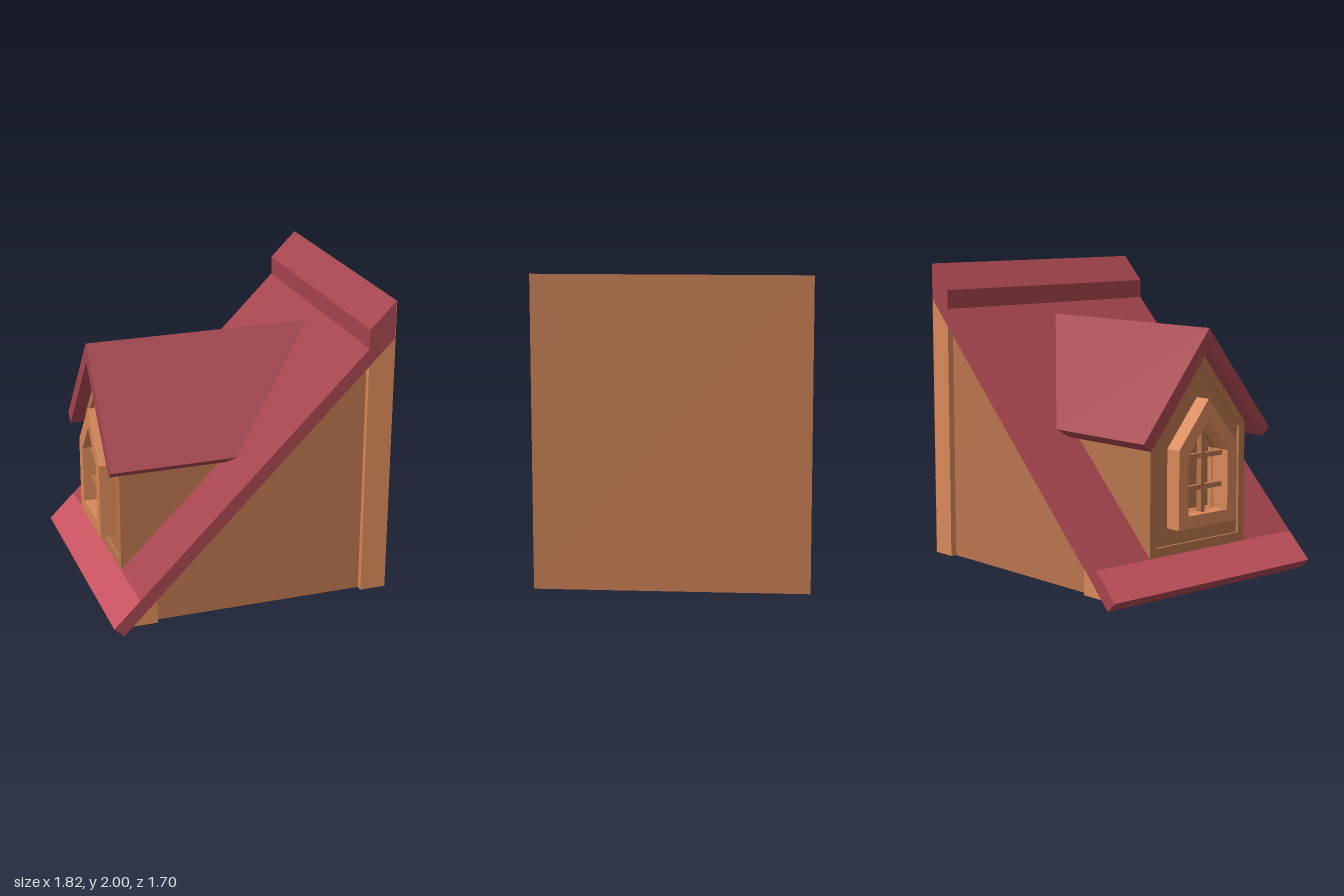
import * as THREE from 'three';

const material = (color) => new THREE.MeshStandardMaterial({ color, flatShading: true, side: THREE.DoubleSide });
const wood = material(0xb8744c);
const lightWood = material(0xd88858);
const red = material(0xa5454f);
const lightRed = material(0xc8535f);

const toShape = (pts) => new THREE.Shape(pts.map((p) => new THREE.Vector2(...p)));

// Extrude an (x, y) outline from z0 to z1.
function alongZ(pts, z0, z1) {
  const g = new THREE.ExtrudeGeometry(toShape(pts), { depth: z1 - z0, bevelEnabled: false });
  return g.translate(0, 0, z0);
}

// Extrude a symmetric (z, y) outline from x0 to x1, with an optional hole.
function alongX(pts, x0, x1, hole) {
  const shape = toShape(pts);
  if (hole) shape.holes.push(toShape(hole));
  const g = new THREE.ExtrudeGeometry(shape, { depth: x1 - x0, bevelEnabled: false });
  return g.rotateY(Math.PI / 2).translate(x0, 0, 0);
}

// House-shaped outline: half width, bottom, shoulder and apex heights.
const gable = (w, bottom, shoulder, apex) =>
  [[-w, bottom], [w, bottom], [w, shoulder], [0, apex], [-w, shoulder]];

export function createModel() {
  const model = new THREE.Group();
  const add = (name, geometry, mat) => {
    const mesh = new THREE.Mesh(geometry, mat);
    mesh.name = name;
    model.add(mesh);
    return mesh;
  };

  // Main body, slightly recessed between its end posts
  add('sideWalls', alongZ([[-0.63, 0.06], [0.74, 0.06], [0.74, 1.595], [-0.63, 0.225]], -0.81, 0.81), wood);
  add('backPost', alongZ([[0.74, 0.06], [0.907, 0.06], [0.907, 1.762], [0.74, 1.595]], -0.85, 0.85), lightWood);
  add('eavePost', alongZ([[-0.795, 0.06], [-0.63, 0.06], [-0.63, 0.225]], -0.85, 0.85), lightWood);

  // Sloping roof with its raised ridge cap
  add('mainRoof', alongZ([
    [-0.91, 0.06], [-0.85, 0], [0.907, 1.762], [0.907, 2],
    [0.74, 1.833], [0.74, 1.71],
  ], -0.85, 0.85), red);

  // Flat facing over the whole tall side
  const facing = new THREE.PlaneGeometry(1.7, 1.94).rotateY(Math.PI / 2);
  add('backFacing', facing.translate(0.91, 1.03, 0), wood);

  // Pale strip along the lower edge of the roof
  const strip = new THREE.PlaneGeometry(0.17 * Math.SQRT2, 1.7).rotateX(-Math.PI / 2).rotateZ(Math.PI / 4);
  add('eaveStrip', strip.translate(-0.827, 0.146, 0), lightRed);

  // Dormer side walls, cut off where they meet the roof
  const cheek = [[-0.74, 0.21], [0.06, 1.01], [-0.74, 1.01]];
  for (const side of [-1, 1]) {
    const z = side * 0.385;
    add('dormerSideWall', alongZ(cheek, z - 0.025, z + 0.025), wood);
  }

  // Dormer front: border, set-back panel and dark back of the window
  const opening = gable(0.17, 0.48, 0.86, 1.07);
  add('dormerBorder', alongX(gable(0.41, 0.21, 1.01, 1.514), -0.74, -0.7,
    gable(0.36, 0.29, 0.99, 1.43)), wood);
  add('dormerPanel', alongX(gable(0.37, 0.27, 1.0, 1.45), -0.72, -0.68, opening), wood);
  add('windowBack', alongX(gable(0.2, 0.45, 0.88, 1.12), -0.65, -0.64), wood);

  // Window frame with glazing bars
  add('windowFrame', alongX(gable(0.25, 0.4, 0.9, 1.2), -0.828, -0.65, opening), lightWood);
  add('verticalBar', new THREE.BoxGeometry(0.04, 0.58, 0.03).translate(-0.76, 0.765, 0), wood);
  for (const y of [0.64, 0.84]) {
    add('horizontalBar', new THREE.BoxGeometry(0.035, 0.03, 0.34).translate(-0.76, y, 0), wood);
  }

  // Dormer roof: a chevron whose inner end is sheared to follow the main roof
  const dormerRoof = alongX([
    [-0.545, 0.97], [-0.483, 0.92], [0, 1.513],
    [0.483, 0.92], [0.545, 0.97], [0, 1.64],
  ], -0.828, 0.5);
  const p = dormerRoof.attributes.position;
  for (let i = 0; i < p.count; i++) {
    if (p.getX(i) > 0) p.setX(i, p.getY(i) - 0.972);
  }
  dormerRoof.computeVertexNormals();
  add('dormerRoof', dormerRoof, red);

  return model;
}
